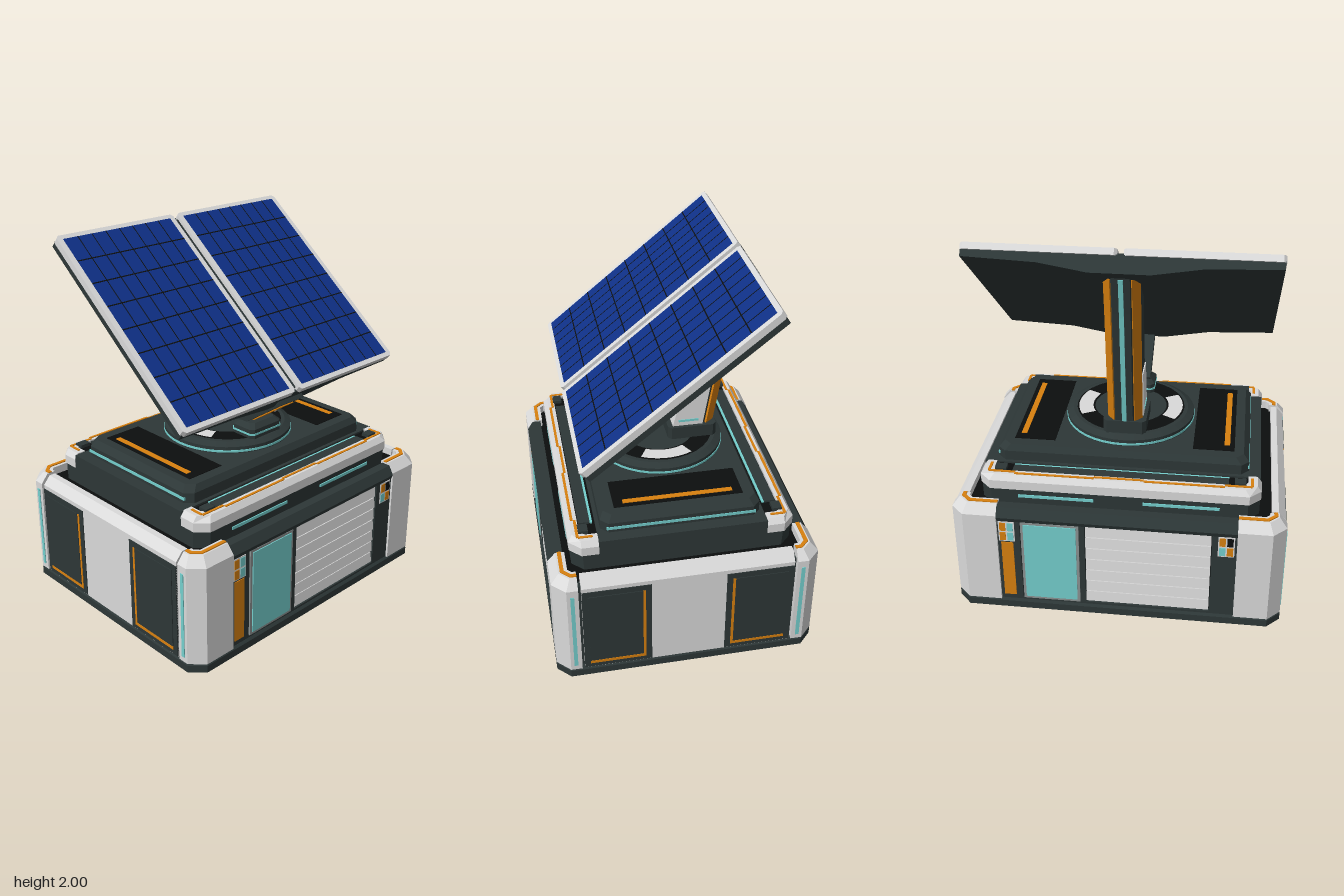
import * as THREE from 'three';

const mat = (name, color, side = THREE.FrontSide) => {
  const m = new THREE.MeshStandardMaterial({ color, side, flatShading: true });
  m.name = name;
  return m;
};

export function createModel() {
  const white = mat('white shell', 0xdadada), dark = mat('dark metal', 0x2d3737), black = mat('black recess', 0x0c0e0e);
  const orange = mat('orange accent', 0xd8800f), teal = mat('teal light', 0x74cfcd), blue = mat('blue cell', 0x0f3086);
  const grey = mat('grey trim', 0x8c9292);
  const model = new THREE.Group();

  const add = (parent, name, geo, m) => {
    const mesh = new THREE.Mesh(geo, m);
    mesh.name = name;
    parent.add(mesh);
    return mesh;
  };
  // Box given by its limits on each axis
  const box = (parent, name, m, x0, x1, y0, y1, z0, z1) => {
    const mesh = add(parent, name, new THREE.BoxGeometry(x1 - x0, y1 - y0, z1 - z0), m);
    mesh.position.set((x0 + x1) / 2, (y0 + y1) / 2, (z0 + z1) / 2);
    return mesh;
  };
  // Solid through cross-sections stacked upwards; each ring runs counter-clockwise seen from above
  const loft = (parent, name, m, rings) => {
    const n = rings[0].length, index = [];
    for (let r = 0; r < rings.length - 1; r++) for (let i = 0; i < n; i++) {
      const a = r * n + i, b = r * n + (i + 1) % n;
      index.push(a, b, b + n, a, b + n, a + n);
    }
    const cap = ring => THREE.ShapeUtils.triangulateShape(ring.map(p => new THREE.Vector2(p[0], -p[2])), []);
    const top = (rings.length - 1) * n;
    cap(rings[0]).forEach(([a, b, c]) => index.push(a, c, b));
    cap(rings[rings.length - 1]).forEach(([a, b, c]) => index.push(top + a, top + b, top + c));
    const g = new THREE.BufferGeometry();
    g.setAttribute('position', new THREE.Float32BufferAttribute(rings.flat(2), 3));
    g.setIndex(index);
    const flat = g.toNonIndexed();
    flat.computeVertexNormals();
    return add(parent, name, flat, m);
  };
  const at = (y, pts) => pts.map(([x, z]) => [x, y, z]);
  const octagon = (y, hx, hz, c, cz = 0) => at(y, [[c - hx, hz], [hx - c, hz], [hx, hz - c], [hx, c - hz],
    [hx - c, -hz], [c - hx, -hz], [-hx, c - hz], [-hx, hz - c]].map(([x, z]) => [x, z + cz]));
  const rect = (y, x0, x1, z0, z1) => at(y, [[x0, z1], [x1, z1], [x1, z0], [x0, z0]]);
  // Mirror an outline in x, keeping its winding
  const flip = (pts, s) => s > 0 ? pts : pts.map(([x, ...r]) => [-x, ...r]).reverse();

  // Base cabinet core
  const base = new THREE.Group();
  base.name = 'base';
  model.add(base);
  loft(base, 'plinth', dark, [octagon(0, 0.88, 0.7, 0.07), octagon(0.04, 0.88, 0.7, 0.07), octagon(0.052, 0.87, 0.69, 0.07)]);
  loft(base, 'core', dark, [octagon(0.05, 0.85, 0.66, 0.07), octagon(0.6, 0.85, 0.66, 0.07)]);
  box(base, 'deck', black, -0.81, 0.81, 0.597, 0.605, -0.64, 0.64);

  // Everything on the cabinet repeats after half a turn
  for (const turn of [0, Math.PI]) {
    const half = new THREE.Group();
    half.name = turn ? 'backHalf' : 'frontHalf';
    half.rotation.y = turn;
    base.add(half);

    // Corner pillars with accent lines
    for (const s of [1, -1]) {
      const inner = [[0.79, 0.57], [0.79, 0.59], [0.77, 0.61], [0.63, 0.61]];
      const outer = [[0.63, 0.7], [0.81, 0.7], [0.88, 0.63], [0.88, 0.57]];
      const upper = [[0.63, 0.657], [0.79, 0.657], [0.84, 0.607], [0.84, 0.57]];
      loft(half, 'cornerPillar', white, [at(0.05, flip([...outer, ...inner], s)),
        at(0.6, flip([...outer, ...inner], s)), at(0.65, flip([...upper, ...inner], s))]);
      const line = flip([[0.63, 0.648], [0.785, 0.648], [0.83, 0.603], [0.83, 0.57],
        [0.81, 0.57], [0.81, 0.597], [0.777, 0.628], [0.63, 0.628]], s);
      loft(half, 'cornerLine', orange, [at(0.649, line), at(0.655, line)]);
      const x = s * 0.88;
      box(half, 'pillarLight', teal, x - 0.004, x + 0.004, 0.08, 0.56, 0.592, 0.612);
    }

    // Side wall with framed panels
    loft(half, 'sideWall', white, [rect(0.05, 0.8, 0.875, -0.555, 0.555), rect(0.6, 0.8, 0.875, -0.555, 0.555),
      rect(0.645, 0.8, 0.835, -0.555, 0.555)]);
    for (const s of [1, -1]) {
      const side = (name, m, x1, y0, y1, a, b) =>
        box(half, name, m, 0.87, x1, y0, y1, Math.min(s * a, s * b), Math.max(s * a, s * b));
      side('sidePanel', dark, 0.879, 0.055, 0.577, 0.197, 0.555);
      side('panelInset', dark, 0.883, 0.1, 0.545, 0.245, 0.525);
      side('panelLine', orange, 0.882, 0.08, 0.545, 0.228, 0.242);
      side('panelLine', orange, 0.882, 0.08, 0.097, 0.228, 0.525);
    }

    // Front frame
    loft(half, 'headBeam', dark, [rect(0.565, -0.63, 0.63, 0.62, 0.69), rect(0.59, -0.63, 0.63, 0.62, 0.7),
      rect(0.64, -0.63, 0.63, 0.62, 0.67)]);
    for (const [a, b] of [[-0.635, -0.51], [-0.195, -0.165], [0.5, 0.635]]) box(half, 'framePost', dark, a, b, 0.05, 0.57, 0.65, 0.688);
    box(half, 'frameSill', dark, -0.63, 0.63, 0.05, 0.064, 0.65, 0.688);
    box(half, 'orangePlate', orange, -0.612, -0.547, 0.08, 0.43, 0.686, 0.692);

    // Teal door
    box(half, 'doorRim', grey, -0.505, -0.195, 0.064, 0.565, 0.66, 0.692);
    box(half, 'door', teal, -0.49, -0.21, 0.08, 0.552, 0.688, 0.697);

    // Louvres
    box(half, 'louvreRecess', black, -0.165, 0.5, 0.062, 0.568, 0.655, 0.664);
    for (let i = 0; i < 7; i++)
      box(half, 'louvre', white, -0.162, 0.497, 0.07 + i * 0.071, 0.13 + i * 0.071, 0.665, 0.681).rotation.x = -0.12;

    // Indicator clusters
    [[-0.58, [orange, teal, orange, teal]], [0.575, [orange, black, teal, orange]]].forEach(([x, tiles]) => {
      box(half, 'indicatorPlate', white, x - 0.043, x + 0.043, 0.438, 0.562, 0.685, 0.691);
      tiles.forEach((m, i) => {
        const cx = x + (i % 2 ? 0.02 : -0.02), cy = i < 2 ? 0.53 : 0.47;
        box(half, 'indicator', m, cx - 0.016, cx + 0.016, cy - 0.025, cy + 0.025, 0.688, 0.694);
      });
    });

    // Upper tier trim, lights and accent line
    const trim = d => [[-0.74 + d, 0.44], [-0.68 + d / 2, 0.44], [-0.68 + d / 2, 0.5], [-0.65, 0.53], [0.65, 0.53], [0.68 - d / 2, 0.5],
      [0.68 - d / 2, 0.44], [0.74 - d, 0.44], [0.74 - d, 0.53], [0.68 - d, 0.59 - d], [-0.68 + d, 0.59 - d], [-0.74 + d, 0.53]].reverse();
    const ccw = trim(0).reverse(), ccwTop = trim(0.022).reverse();
    const area = THREE.ShapeUtils.area(ccw.map(([x, z]) => new THREE.Vector2(x, -z)));
    const order = p => area < 0 ? [...p].reverse() : p;
    loft(half, 'tierTrim', white, [at(0.7, order(ccw)), at(0.75, order(ccw)), at(0.78, order(ccwTop))]);
    box(half, 'trimLine', orange, -0.13, 0.13, 0.779, 0.784, 0.54, 0.553);
    for (const s of [1, -1]) {
      const bar = (name, m, a, b, ...r) => box(half, name, m, Math.min(s * a, s * b), Math.max(s * a, s * b), ...r);
      bar('trimLine', orange, 0.13, 0.55, 0.779, 0.784, 0.55, 0.564);
      bar('trimLine', orange, 0.55, 0.69, 0.779, 0.784, 0.536, 0.55);
      bar('trimLine', orange, 0.683, 0.697, 0.779, 0.784, 0.465, 0.54);
      bar('tierLight', teal, 0.13, 0.53, 0.652, 0.668, 0.582, 0.589);
      bar('trimStud', dark, 0.6, 0.66, 0.775, 0.793, 0.485, 0.535);
    }
    box(half, 'tierStep', dark, -0.57, 0.57, 0.7, 0.776, 0.465, 0.525);
    box(half, 'stepLight', teal, -0.57, 0.57, 0.765, 0.774, 0.452, 0.464);

    // Top plate insets
    box(half, 'topInset', black, 0.37, 0.59, 0.86, 0.867, -0.34, 0.34);
    box(half, 'topLine', orange, 0.535, 0.565, 0.862, 0.87, -0.29, 0.29);
    box(half, 'topPlateLight', teal, 0.664, 0.673, 0.792, 0.808, -0.39, 0.39);
  }

  // Stepped tiers
  loft(base, 'lowerTier', dark, [octagon(0.6, 0.735, 0.58, 0.06), octagon(0.7, 0.735, 0.585, 0.06)]);
  box(base, 'tierBody', dark, -0.735, 0.735, 0.7, 0.775, -0.44, 0.44);
  box(base, 'tierRecess', black, -0.67, 0.67, 0.7, 0.765, -0.53, 0.53);
  loft(base, 'topPlate', dark, [octagon(0.77, 0.67, 0.42, 0.04), octagon(0.83, 0.67, 0.42, 0.04), octagon(0.864, 0.64, 0.4, 0.04)]);

  // Turntable
  const table = new THREE.Group();
  table.name = 'turntable';
  model.add(table);
  add(table, 'turntableDisc', new THREE.LatheGeometry([[0.355, 0.86], [0.355, 0.9], [0.32, 0.918], [0, 0.918]]
    .map(p => new THREE.Vector2(...p)), 40), dark);
  add(table, 'turntableLight', new THREE.CylinderGeometry(0.358, 0.358, 0.012, 40), teal).position.y = 0.876;
  const ring = (name, m, r0, r1, y, start, len) => {
    const r = add(table, name, new THREE.RingGeometry(r0, r1, 32, 1, start, len), m);
    r.rotation.x = -Math.PI / 2;
    r.position.y = y;
  };
  ring('trackRing', black, 0.2, 0.3, 0.92, 0, Math.PI * 2);
  for (const a of [0, Math.PI]) ring('trackArc', white, 0.21, 0.29, 0.923, a - 0.5, 1);

  // Mount blocks
  loft(table, 'frontMount', dark, [octagon(0.915, 0.115, 0.08, 0.02, 0.23), octagon(0.97, 0.115, 0.08, 0.02, 0.23), octagon(0.995, 0.09, 0.055, 0.02, 0.23)]);
  loft(table, 'frontMountLight', teal, [octagon(0.938, 0.118, 0.083, 0.02, 0.23), octagon(0.948, 0.118, 0.083, 0.02, 0.23)]);
  loft(table, 'mastMount', dark, [octagon(0.915, 0.115, 0.135, 0.02, -0.175), octagon(0.99, 0.115, 0.135, 0.02, -0.175)]);

  // Leaning mast: [front y, front z, back y, back z]
  const mast = new THREE.Group();
  mast.name = 'mast';
  model.add(mast);
  const levels = [[0.985, -0.07, 0.985, -0.3], [1.26, -0.14, 1.26, -0.345], [1.62, -0.21, 1.65, -0.4], [1.7, -0.22, 1.865, -0.44]];
  loft(mast, 'mastBody', dark, levels.map(([yf, zf, yb, zb]) => [[-0.09, yf, zf], [0.09, yf, zf], [0.09, yb, zb + 0.06],
    [0.045, yb, zb], [-0.045, yb, zb], [-0.09, yb, zb + 0.06]]));
  loft(mast, 'mastCuff', white, levels.slice(0, 2).map(([y, zf, , zb]) => rect(y, -0.096, 0.096, zb + 0.066, zf + 0.004)));
  const backEnds = [levels[0], levels[1], levels[2], levels[3]];
  for (const s of [1, -1]) {
    loft(mast, 'mastStripe', orange, backEnds.map(([, , y, zb]) => flip([[0.093, y - 0.02, zb + 0.049], [0.055, y - 0.02, zb + 0.002],
      [0.05, y - 0.02, zb + 0.012], [0.084, y - 0.02, zb + 0.058]], s)));
    box(mast, 'cuffLight', teal, s * 0.096 - 0.004, s * 0.096 + 0.004, 1.015, 1.028, -0.21, -0.1);
  }
  loft(mast, 'mastLight', teal, backEnds.map(([, , y, zb]) => rect(y - 0.02, -0.012, 0.012, zb - 0.005, zb + 0.01)));

  // Front brace
  const brace = new THREE.Group();
  brace.name = 'frontBrace';
  brace.position.set(0, 1.08, 0.33);
  brace.rotation.x = -Math.atan2(0.17, 0.25);
  model.add(brace);
  box(brace, 'braceBar', dark, -0.09, 0.09, -0.02, 0.025, -0.17, 0.17);
  box(brace, 'braceStripe', orange, -0.045, 0.045, -0.026, -0.018, -0.14, 0.13);

  // Actuator strut
  const from = new THREE.Vector3(0, 1.0, 0.23), to = new THREE.Vector3(0, 1.43, -0.2);
  const up = new THREE.Vector3(0, 1, 0), dir = to.clone().sub(from);
  [['strutFoot', dark, 0, 0.25, 0.036], ['strutCollar', black, 0.24, 0.33, 0.03], ['strutSleeve', white, 0.32, 0.58, 0.042],
    ['strutCollar', black, 0.57, 0.65, 0.03], ['strutHead', dark, 0.64, 1, 0.042]].forEach(([name, m, a, b, r]) => {
    const rod = add(model, name, new THREE.CylinderGeometry(r, r, dir.length() * (b - a), 10), m);
    rod.position.copy(from).addScaledVector(dir, (a + b) / 2);
    rod.quaternion.setFromUnitVectors(up, dir.clone().normalize());
  });

  // Tilted solar array: local y runs up the slope, local z is the sunny side
  const array = new THREE.Group();
  array.name = 'solarArray';
  array.position.set(0, 1.617, 0.052);
  array.rotation.x = -Math.atan2(0.945, 0.765);
  model.add(array);
  const section = [[-0.775, -0.03], [-0.775, -0.07], [-0.4, -0.085], [-0.15, -0.125], [0.15, -0.125], [0.4, -0.085], [0.775, -0.07], [0.775, -0.03]];
  const back = new THREE.ExtrudeGeometry(new THREE.Shape(section.map(p => new THREE.Vector2(...p))), { depth: 1.2, bevelEnabled: false });
  back.rotateX(Math.PI / 2).translate(0, 0.6, 0);
  add(array, 'arrayBacking', back, dark);
  box(array, 'arraySpine', dark, -0.02, 0.02, -0.58, 0.58, -0.04, -0.018);
  for (const s of [1, -1]) {
    const cx = s * 0.398, w = 0.35, h = 0.582;
    const c = 0.015, fx = 0.382, fy = 0.608;
    const outline = new THREE.Shape([[c - fx, -fy], [fx - c, -fy], [fx, c - fy], [fx, fy - c], [fx - c, fy], [c - fx, fy],
      [-fx, fy - c], [-fx, c - fy]].map(p => new THREE.Vector2(...p)));
    const frame = add(array, 'panelFrame', new THREE.ExtrudeGeometry(outline, { depth: 0.035, bevelEnabled: false }), white);
    frame.position.set(cx, 0, -0.035);
    box(array, 'solarCells', blue, cx - w, cx + w, -h, h, -0.004, 0.002);
    for (let i = 1; i < 8; i++) {
      const x = cx - w + i * w / 4, y = -h + i * h / 4;
      box(array, 'cellLine', black, x - 0.002, x + 0.002, -h, h, -0.003, 0.0035);
      box(array, 'cellLine', black, cx - w, cx + w, y - 0.003, y + 0.003, -0.003, 0.0035);
    }
  }
  return model;
}
